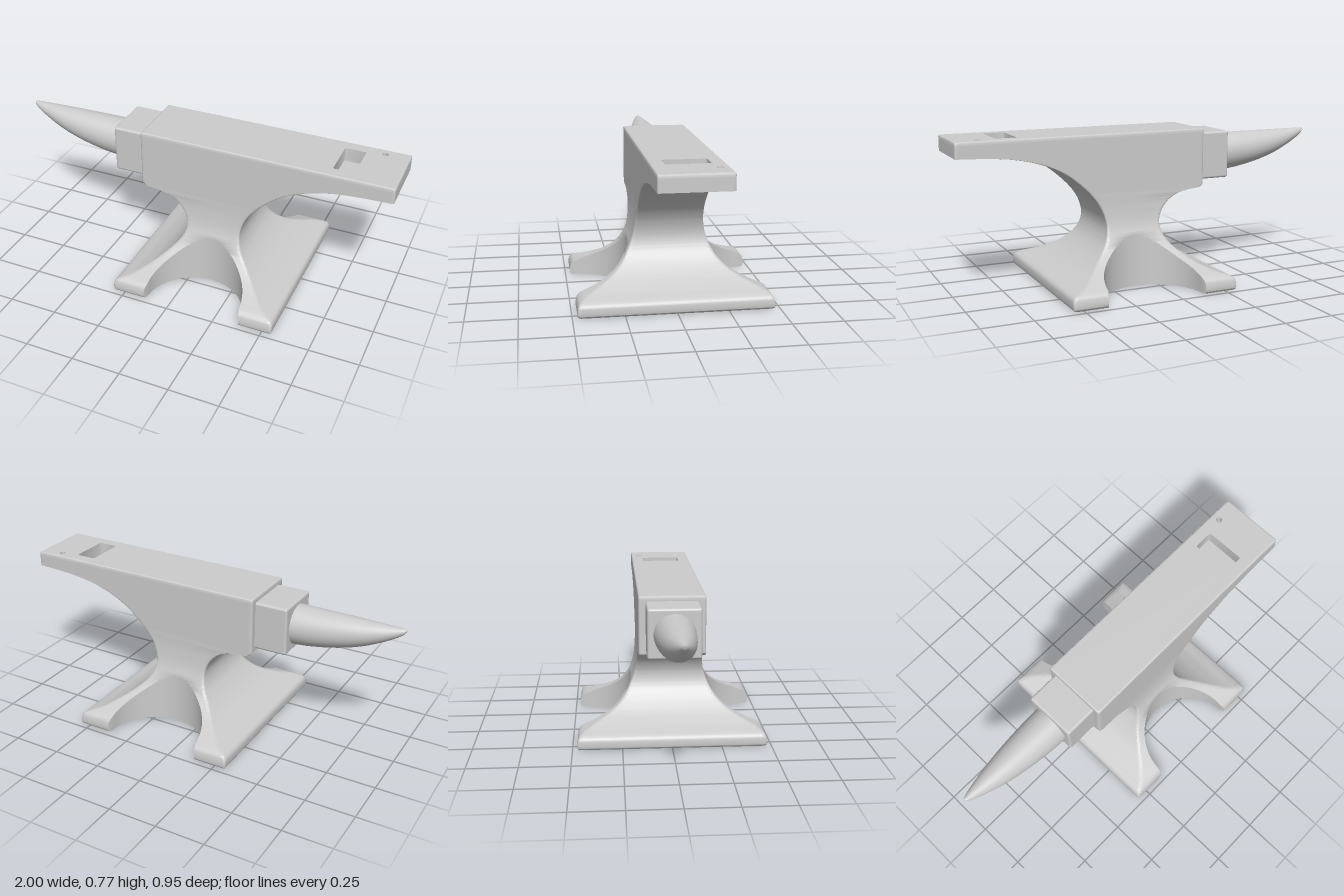
import * as THREE from 'three';
import { mergeVertices, toCreasedNormals } from 'three/addons/utils/BufferGeometryUtils.js';
import { RoundedBoxGeometry } from 'three/addons/geometries/RoundedBoxGeometry.js';

const V = (x, y, z) => new THREE.Vector3(x, y, z);

// Smooth curve through [x, y] points, sampled from bottom to top
function smooth(points, n) {
  const curve = new THREE.CatmullRomCurve3(points.map(([x, y]) => V(x, y, 0)));
  return curve.getPoints(n).map((p) => [p.x, p.y]);
}

// Value of a sampled profile at height y
function at(profile, y) {
  for (let i = 1; i < profile.length; i++) {
    const [x0, y0] = profile[i - 1], [x1, y1] = profile[i];
    if (y <= y1) return y1 - y0 < 1e-9 ? x1 : x0 + (x1 - x0) * Math.max(0, (y - y0) / (y1 - y0));
  }
  return profile[profile.length - 1][0];
}

// Skin between horizontal rings of points
function loft(rings) {
  const pos = [];
  const tri = (...pts) => pts.forEach((p) => pos.push(p.x, p.y, p.z));
  for (let j = 1; j < rings.length; j++) {
    const lo = rings[j - 1], hi = rings[j], n = lo.length;
    for (let i = 0; i < n; i++) {
      const k = (i + 1) % n;
      if (lo[i].distanceTo(lo[k]) > 1e-6) tri(lo[i], hi[i], lo[k]);
      if (hi[i].distanceTo(hi[k]) > 1e-6) tri(lo[k], hi[i], hi[k]);
    }
  }
  const g = new THREE.BufferGeometry();
  g.setAttribute('position', new THREE.Float32BufferAttribute(pos, 3));
  return toCreasedNormals(g, 0.7);
}

// Flat face filling a ring, facing up (dir 1) or down (dir -1)
function cap(ring, dir, holes = []) {
  const flat = (r) => r.map((p) => new THREE.Vector2(p.x, -dir * p.z));
  const shape = new THREE.Shape(flat(ring));
  shape.holes = holes.map((h) => new THREE.Path(flat(h)));
  return new THREE.ShapeGeometry(shape).rotateX(-dir * Math.PI / 2).translate(0, ring[0].y, 0);
}

// Rounded rectangle or circle as a ring
function roundRing(cx, cz, hx, hz, r, y) {
  return Array.from({ length: 24 }, (_, i) => {
    const a = ((i + 0.5) / 24) * Math.PI * 2, c = Math.cos(a), s = Math.sin(a);
    return V(cx + Math.sign(c) * (hx - r) + r * c, y, cz + Math.sign(s) * (hz - r) + r * s);
  });
}

export function createModel() {
  const group = new THREE.Group();
  const mat = new THREE.MeshStandardMaterial({ color: 0xcccccc });
  const add = (name, geometry) => {
    const mesh = new THREE.Mesh(geometry, mat);
    mesh.name = name;
    group.add(mesh);
  };

  // Body profiles: [offset, height]
  const top = 0.775;
  const rounded = (x, s) => [[x, 0.767], [x - s * 0.002, 0.772], [x - s * 0.008, top]];
  const right = [
    ...smooth([[0.54, 0], [0.549, 0.008], [0.549, 0.05], [0.54, 0.064], [0.46, 0.095], [0.38, 0.14],
      [0.31, 0.2], [0.275, 0.25], [0.26, 0.31], [0.272, 0.375], [0.31, 0.445], [0.38, 0.52],
      [0.47, 0.59], [0.58, 0.642], [0.72, 0.677], [0.86, 0.691], [1, 0.697]], 90),
    ...rounded(1, 1)];
  const left = [
    ...smooth([[-0.3, 0], [-0.309, 0.008], [-0.309, 0.05], [-0.3, 0.064], [-0.22, 0.095], [-0.14, 0.14],
      [-0.075, 0.2], [-0.04, 0.25], [-0.027, 0.31], [-0.042, 0.365], [-0.08, 0.415], [-0.13, 0.447],
      [-0.2, 0.465], [-0.268, 0.473], [-0.285, 0.487]], 80),
    ...rounded(-0.285, -1)];
  const depth = [
    ...smooth([[0.465, 0], [0.474, 0.008], [0.47, 0.055], [0.457, 0.071], [0.4, 0.097], [0.345, 0.121],
      [0.29, 0.152], [0.238, 0.2], [0.202, 0.26], [0.181, 0.32], [0.169, 0.4], [0.165, 0.48]], 60),
    ...rounded(0.165, 1)];

  // One horizontal section, with round bites out of the front and back of the foot
  const bite = { x: 0.12, z: 0.448, r: 0.25 };
  function section(y) {
    const a = at(left, y), b = at(right, y), w = at(depth, y), r = 0.008, guard = 0.02;
    const half = [];
    const corner = (x, s) => {
      const pts = [V(x, y, w - guard)];
      for (let i = 0; i < 4; i++) {
        const t = (i / 3) * Math.PI / 2;
        pts.push(V(x - s * r * (1 - Math.cos(t)), y, w - r * (1 - Math.sin(t))));
      }
      pts.push(V(x - s * guard, y, w));
      return s > 0 ? pts : pts.reverse();
    };
    const phi = Math.acos(THREE.MathUtils.clamp((bite.z - w) / bite.r, 0, 1));
    const edge = bite.r * Math.sin(phi) + Math.max(0, w - bite.z) * 0.3;
    half.push(...corner(b, 1), V(bite.x + edge, y, w));
    for (let i = 0; i <= 32; i++) {
      const t = phi * (1 - i / 16);
      half.push(V(bite.x + bite.r * Math.sin(t), y, Math.min(w, bite.z - bite.r * Math.cos(t))));
    }
    half.push(V(bite.x - edge, y, w), ...corner(a, -1));
    return [...half, ...half.map((p) => V(p.x, y, -p.z)).reverse()];
  }

  const heights = [...left, ...right, ...depth].map((p) => p[1]).concat(0.72, 0.755)
    .sort((p, q) => p - q).filter((y, i, all) => y >= 0 && (i === 0 || y - all[i - 1] > 1e-4));
  const rings = heights.map(section);
  add('body', loft(rings));
  add('footUnderside', cap(rings[0], -1));

  // Face with a square tool hole and a small punch hole
  const holes = [
    { name: 'squareHole', ring: (y) => roundRing(0.74, 0, 0.052, 0.102, 0.01, y) },
    { name: 'punchHole', ring: (y) => roundRing(0.88, -0.12, 0.015, 0.015, 0.015, y) },
  ];
  add('face', cap(section(top), 1, holes.map((h) => h.ring(top))));
  for (const { name, ring } of holes) {
    add(name + 'Walls', loft([ring(top), ring(0.705)]));
    add(name + 'Floor', cap(ring(0.705), 1));
  }

  // Stepped block between body and horn
  add('step', new RoundedBoxGeometry(0.25, 0.245, 0.26, 4, 0.012).translate(-0.327, 0.6275, 0));

  // Horn: a turned cone, dropped so that its upper edge runs level
  const hornProfile = smooth([[0.101, 0.42], [0.099, 0.5], [0.092, 0.6], [0.081, 0.7], [0.065, 0.8],
    [0.042, 0.9], [0.021, 0.97], [0.01, 0.994], [0, 1]], 50).map(([r, s]) => new THREE.Vector2(Math.max(0, r), s));
  let horn = new THREE.LatheGeometry(hornProfile, 48).rotateZ(Math.PI / 2);
  const p = horn.attributes.position;
  for (let i = 0; i < p.count; i++) p.setY(i, p.getY(i) + 0.726 - Math.hypot(p.getY(i), p.getZ(i)));
  horn.deleteAttribute('normal');
  horn.deleteAttribute('uv');
  horn = mergeVertices(horn);
  horn.computeVertexNormals();
  add('horn', horn);

  return group;
}
